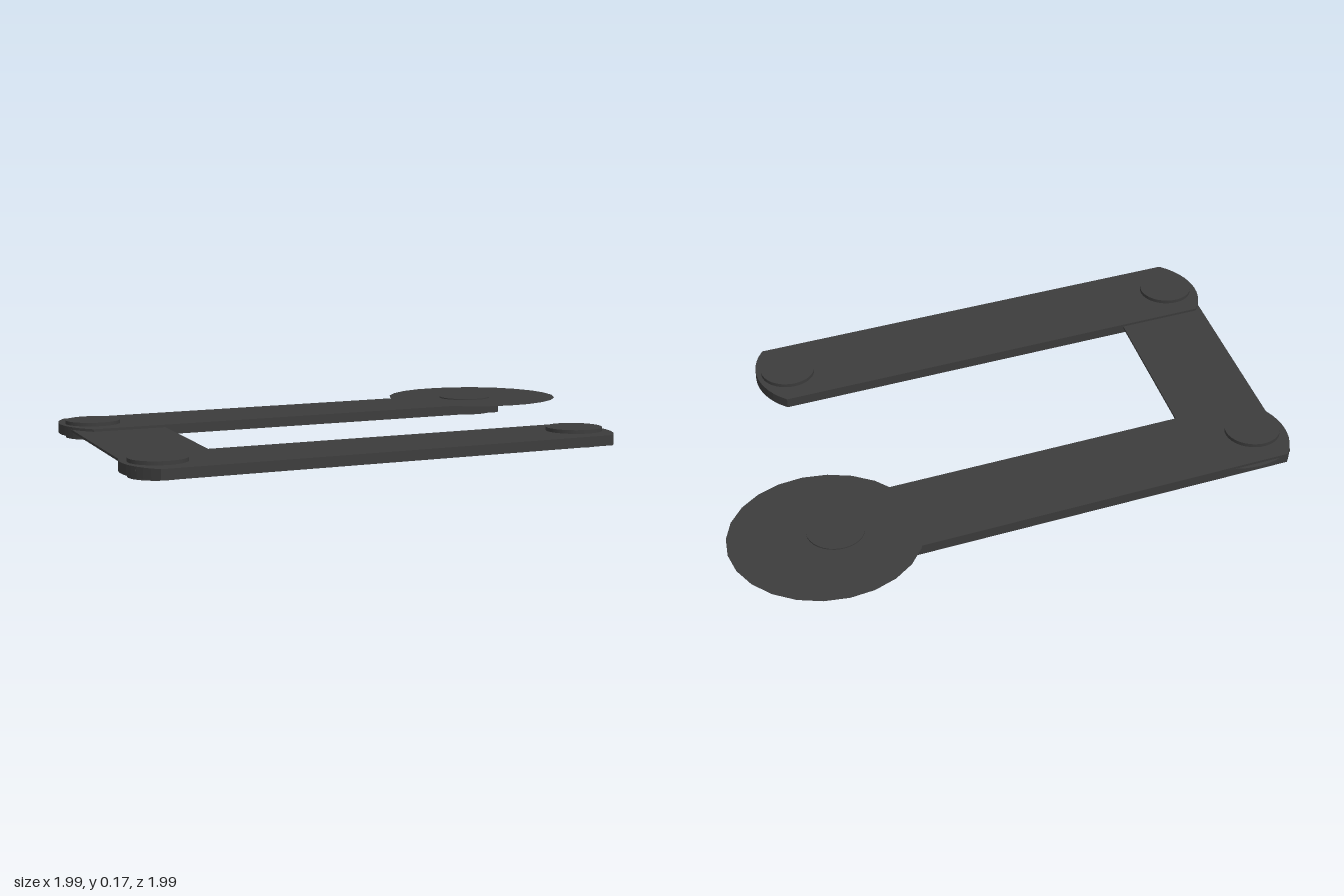
import * as THREE from 'three';

const material = new THREE.MeshStandardMaterial({ color: 0x3c3c3c, side: THREE.DoubleSide });

// Flat bar along local x with parallel edges and shallow arc ends, centred on y = 0
function barGeometry(x0, x1, halfWidth, sag0, sag1, thickness) {
  const arc = (x, sag, side) => {
    const points = [];
    for (let i = 0; i <= 12; i++) {
      const t = -1 + i / 6;
      const r = (halfWidth ** 2 + sag ** 2) / (2 * sag);
      const bulge = Math.sqrt(r * r - (t * halfWidth) ** 2) - (r - sag);
      points.push(new THREE.Vector2(x + side * bulge, side * t * halfWidth));
    }
    return points;
  };
  const shape = new THREE.Shape([...arc(x1, sag1, 1), ...arc(x0, sag0, -1)]);
  const geometry = new THREE.ExtrudeGeometry(shape, { depth: thickness, bevelEnabled: false });
  geometry.translate(0, 0, -thickness / 2);
  geometry.rotateX(Math.PI / 2);
  return geometry;
}

export function createModel() {
  const model = new THREE.Group();
  const linkage = new THREE.Group();
  linkage.name = 'linkage';
  model.add(linkage);

  const add = (name, geometry, x, y, z, turn = 0) => {
    const mesh = new THREE.Mesh(geometry, material);
    mesh.name = name;
    mesh.position.set(x, y, z);
    mesh.rotation.y = turn;
    linkage.add(mesh);
  };

  // Pivot centres
  const rear = [-0.87, -0.15];
  const rearEnd = [0.63, -0.64];
  const front = [-0.675, 0.82];
  const frontEnd = [0.825, 0.33];

  // Two parallel arms
  const arm = barGeometry(-0.055, 1.63, 0.171, 0.065, 0.065, 0.036);
  add('rearArm', arm, rear[0], 0, rear[1], 0.316);
  add('frontArm', arm, front[0], 0, front[1], 0.316);

  // Thin link joining the arms, set slightly inward of the pivots
  const link = barGeometry(-0.13, 1.085, 0.168, 0.065, 0.035, 0.008);
  link.translate(0, 0, -0.07);
  add('crossLink', link, rear[0], 0.005, rear[1], -1.372);

  // Pivot pins
  const pin = new THREE.CylinderGeometry(0.1, 0.1, 0.062, 32);
  const pins = { rearPin: rear, rearEndPin: rearEnd, frontPin: front, frontEndPin: frontEnd };
  for (const [name, [x, z]] of Object.entries(pins)) add(name, pin, x, 0, z);

  // Thin round plate on the end of the rear arm
  const plate = new THREE.CircleGeometry(0.334, 24);
  plate.rotateX(-Math.PI / 2);
  add('roundPlate', plate, 0.664, 0.027, -0.662);

  // Slight tilt of the whole linkage
  linkage.rotation.set(-0.063, 0, -0.005);
  linkage.position.y = 0.08;
  return model;
}
